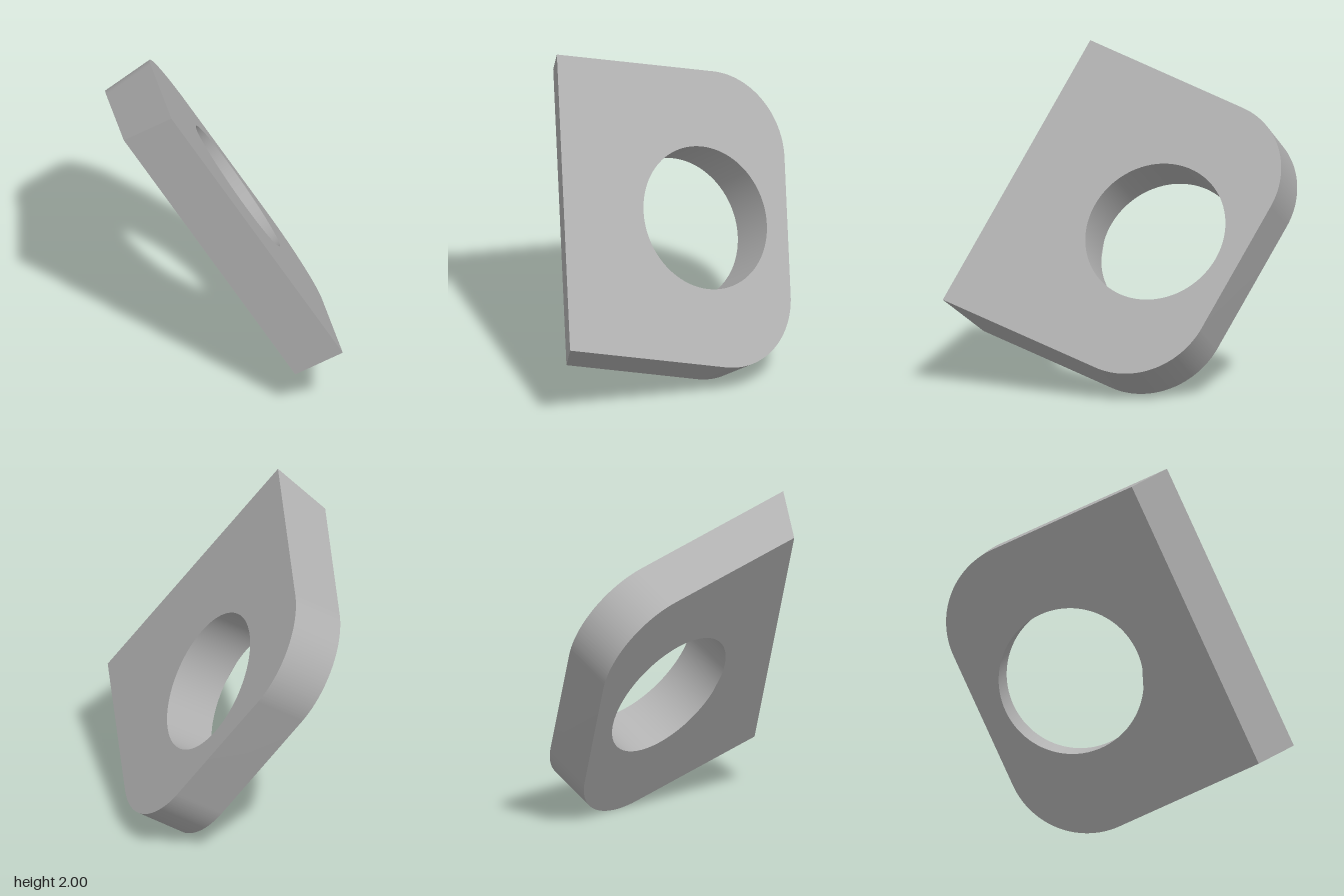
import * as THREE from 'three';
import { toCreasedNormals } from 'three/addons/utils/BufferGeometryUtils.js';

const HALF_WIDTH = 0.92;
const LENGTH = 1.61;
const CORNER = 0.49;
const THICKNESS = 0.325;
const HOLE_RADIUS = 0.443;
const HOLE_CENTRE = 1.018;

export function createModel() {
  const model = new THREE.Group();
  model.name = 'tiltedPlate';
  const grey = new THREE.MeshStandardMaterial({ color: 0xb0b0b0 });
  grey.name = 'grey';

  // Plate axes: across the width, toward the back, and out of the upper face
  const across = new THREE.Vector3(0.59, -0.807, 0).normalize();
  const normal = new THREE.Vector3(0.807 * 0.872, 0.59 * 0.872, -0.49).normalize();
  const back = new THREE.Vector3().crossVectors(normal, across).normalize();

  // Outline with two rounded back corners
  const shape = new THREE.Shape();
  shape.moveTo(-HALF_WIDTH, 0);
  shape.lineTo(HALF_WIDTH, 0);
  shape.absarc(HALF_WIDTH - CORNER, LENGTH - CORNER, CORNER, 0, Math.PI / 2, false);
  shape.absarc(CORNER - HALF_WIDTH, LENGTH - CORNER, CORNER, Math.PI / 2, Math.PI, false);
  shape.closePath();

  // Round through hole
  const hole = new THREE.Path();
  hole.absarc(0, HOLE_CENTRE, HOLE_RADIUS, 0, Math.PI * 2, true);
  shape.holes.push(hole);

  let geometry = new THREE.ExtrudeGeometry(shape, {
    depth: THICKNESS, bevelEnabled: false, curveSegments: 48,
  });

  // Slant the front edge so its face is upright and faces +z
  const pos = geometry.attributes.position;
  const slope = normal.z / back.z;
  for (let i = 0; i < pos.count; i++) {
    if (pos.getY(i) < 1e-4) pos.setY(i, (THICKNESS - pos.getZ(i)) * slope);
  }

  // Stand the plate in its tilted pose
  geometry.translate(0, 0, -THICKNESS);
  geometry.applyMatrix4(new THREE.Matrix4().makeBasis(across, back, normal));
  geometry.translate(0.3625, 1.2575, 0.703);
  geometry = toCreasedNormals(geometry, 0.5);

  const plate = new THREE.Mesh(geometry, grey);
  plate.name = 'plate';
  model.add(plate);
  return model;
}
